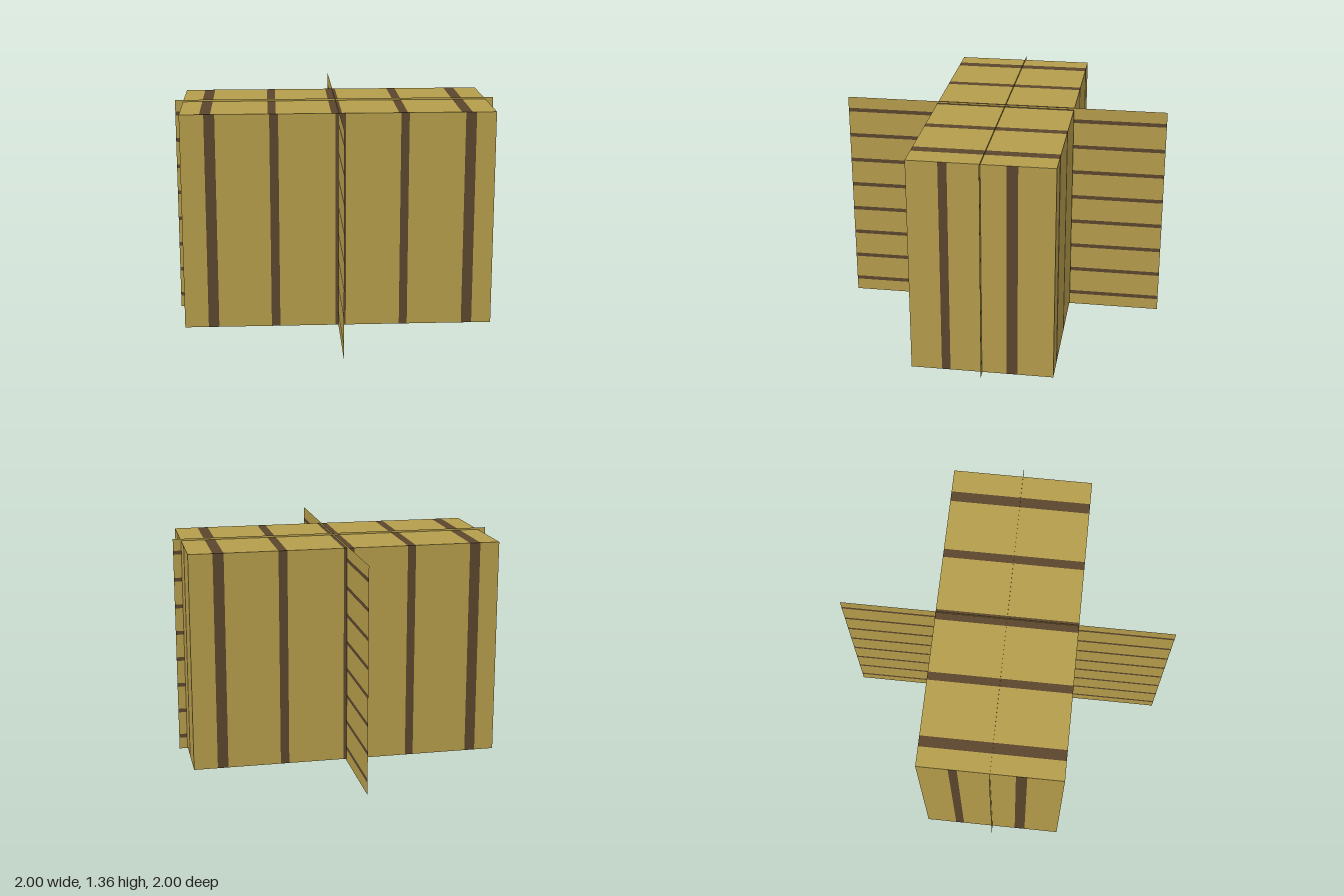
import * as THREE from 'three';
import { mergeGeometries } from 'three/addons/utils/BufferGeometryUtils.js';

const straw = new THREE.MeshStandardMaterial({ color: 0xb59d4b, side: THREE.DoubleSide });
straw.name = 'straw gold';
const band = new THREE.MeshStandardMaterial({ color: 0x5b462d, side: THREE.DoubleSide });
band.name = 'dark brown band';

// Flat panel in the xy plane, divided along x into gold fields and brown bands
function stripedPanel(name, width, height, bands) {
  const strip = (a, b) => new THREE.PlaneGeometry(b - a, height).translate((a + b) / 2, 0, 0);
  const fields = [];
  let start = -width / 2;
  for (const [a, b] of bands) {
    fields.push(strip(start, a));
    start = b;
  }
  fields.push(strip(start, width / 2));
  const geometry = mergeGeometries(
    [mergeGeometries(fields), mergeGeometries(bands.map(([a, b]) => strip(a, b)))], true);
  const mesh = new THREE.Mesh(geometry, [straw, band]);
  mesh.name = name;
  return mesh;
}

export function createModel() {
  const group = new THREE.Group();
  group.name = 'stripedBlock';
  const W = 1.9, H = 1.336, D = 0.855, MID = 0.68;

  const longBands = [[-0.805, -0.74], [-0.415, -0.362], [-0.02, 0.044], [0.375, 0.425], [0.765, 0.83]];
  const mirrored = longBands.map(([a, b]) => [-b, -a]).reverse();
  const endBands = [[-0.242, -0.19], [0.148, 0.213]];

  const place = (mesh, x, y, z, rx, ry, rz = 0) => {
    mesh.position.set(x, y, z);
    mesh.rotation.set(rx, ry, rz);
    group.add(mesh);
  };

  // Four upright faces of the block
  place(stripedPanel('frontFace', W, H, longBands), 0, MID, D / 2, 0, 0);
  place(stripedPanel('backFace', W, H, longBands), 0, MID, -D / 2, 0, Math.PI);
  place(stripedPanel('leftFace', D, H, endBands), W / 2, MID, 0, 0, Math.PI / 2);
  place(stripedPanel('rightFace', D, H, endBands), -W / 2, MID, 0, 0, -Math.PI / 2);

  // Top and bottom of the block
  place(stripedPanel('topFace', W, D, mirrored), 0, MID + H / 2, 0, -Math.PI / 2, 0);
  place(stripedPanel('bottomFace', W, D, mirrored), 0, MID - H / 2, 0, Math.PI / 2, 0);

  // Two thin crossing sheets with level bands
  const sheetBands = [];
  for (let i = 0; i < 8; i++) {
    const y = 0.085 + i * 0.17 - MID;
    sheetBands.push([y - 0.012, y + 0.012]);
  }
  for (const [name, turn] of [['wideSheet', 0], ['deepSheet', Math.PI / 2]]) {
    const sheet = stripedPanel(name, 2 * MID, 2, sheetBands);
    sheet.geometry.rotateZ(Math.PI / 2);
    place(sheet, 0, MID, 0, 0, turn);
  }
  return group;
}
